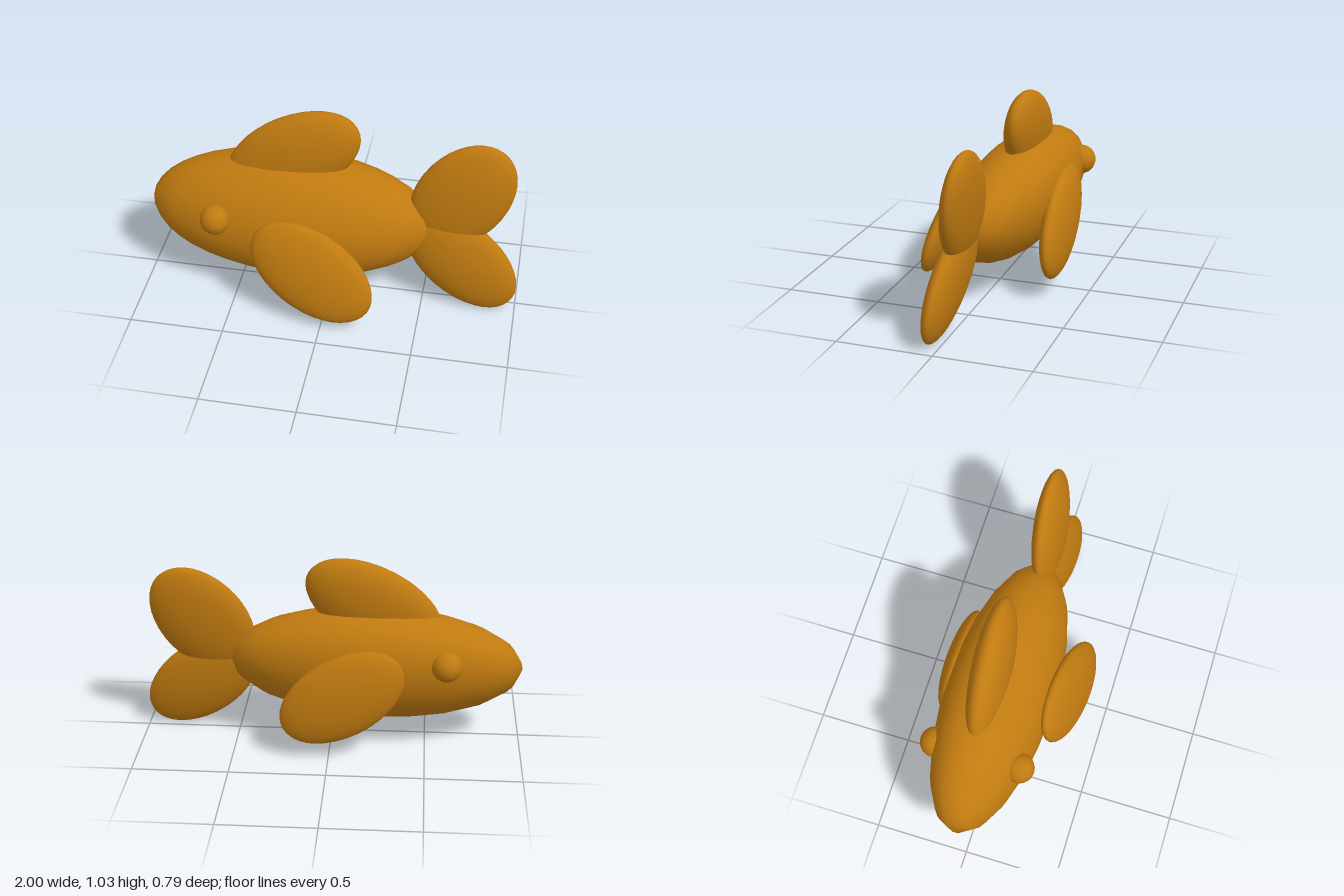
import * as THREE from 'three';

const deg = THREE.MathUtils.degToRad;

export function createModel() {
  const fish = new THREE.Group();
  fish.name = 'fish';
  const material = new THREE.MeshStandardMaterial({ color: 0xc07a10 });

  // Every part is a stretched sphere: turned by `turn` in its own plane, then leaned about x.
  function ellipsoid(name, position, radii, { turn = 0, lean = 0, yaw = 0, sides = 32 } = {}) {
    const mesh = new THREE.Mesh(new THREE.SphereGeometry(1, sides, 20), material);
    mesh.name = name;
    mesh.position.set(...position);
    mesh.scale.set(...radii);
    mesh.rotation.set(deg(lean), deg(yaw), deg(turn));
    fish.add(mesh);
  }

  // Body, coarser around its length
  ellipsoid('body', [-0.23, 0.437, -0.04], [0.77, 0.338, 0.262], { lean: -28, yaw: -1.5, sides: 20 });

  // Fin on the back
  ellipsoid('dorsalFin', [-0.225, 0.768, -0.085], [0.39, 0.22, 0.095], { turn: 30, lean: -7 });

  // Two lobes of the tail
  ellipsoid('upperTailFin', [0.675, 0.65, -0.04], [0.34, 0.235, 0.075], { turn: 55, lean: -8 });
  ellipsoid('lowerTailFin', [0.695, 0.282, 0.018], [0.355, 0.21, 0.075], { turn: -40, lean: -8 });

  // Side fins, splayed outward at the bottom
  ellipsoid('leftSideFin', [-0.06, 0.305, 0.293], [0.36, 0.222, 0.07], { turn: -32, lean: -17 });
  ellipsoid('rightSideFin', [-0.07, 0.355, -0.315], [0.355, 0.212, 0.075], { turn: -32, lean: 3 });

  // Eyes
  ellipsoid('leftEye', [-0.595, 0.49, 0.175], [0.08, 0.08, 0.08], { sides: 20 });
  ellipsoid('rightEye', [-0.6, 0.53, -0.275], [0.08, 0.08, 0.08], { sides: 20 });

  return fish;
}
